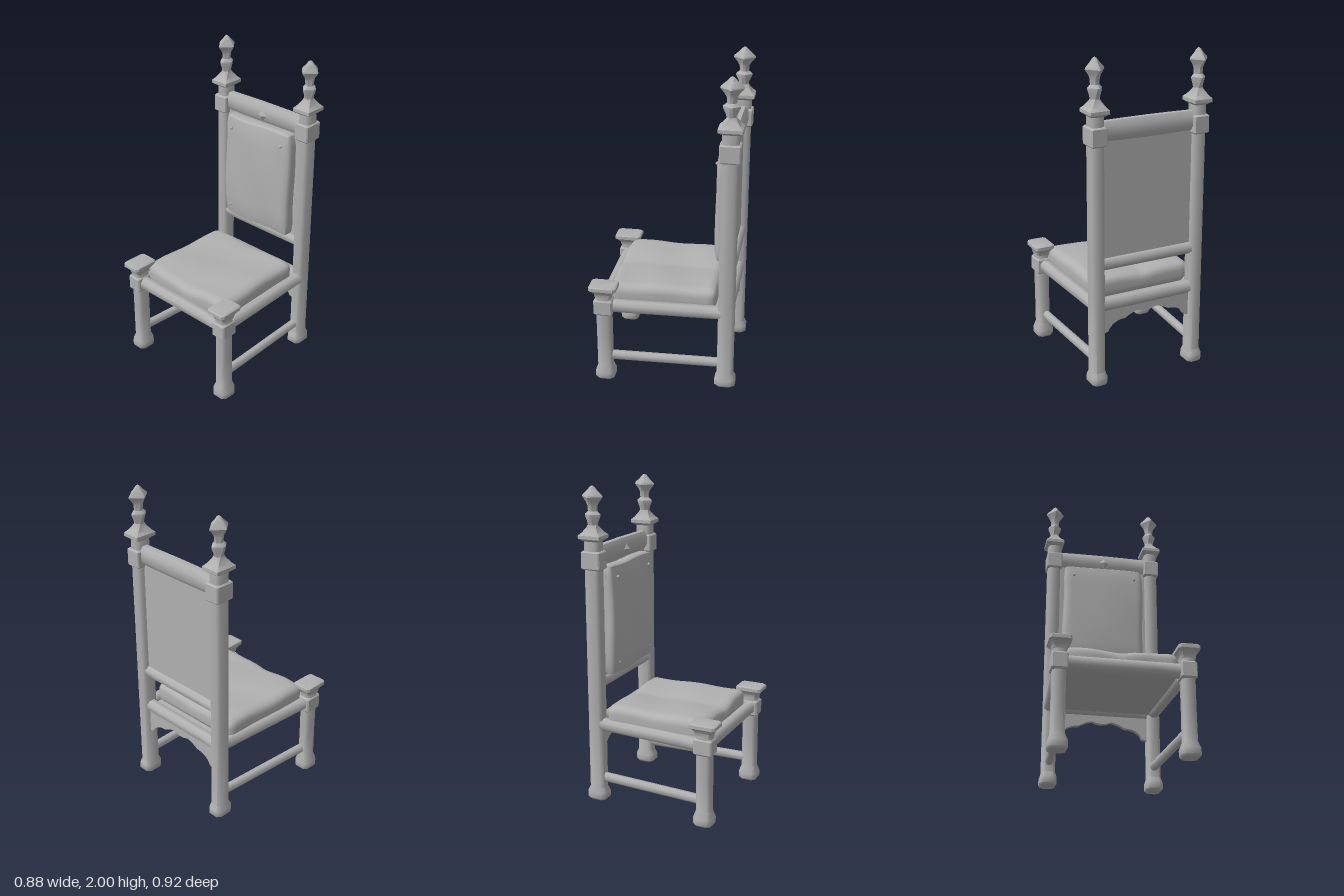
import * as THREE from 'three';
import { mergeVertices, toCreasedNormals } from 'three/addons/utils/BufferGeometryUtils.js';

const grey = new THREE.MeshStandardMaterial({ color: 0xb0b0b0 });
grey.name = 'plain grey';

function add(parent, name, geometry, x = 0, y = 0, z = 0) {
  const mesh = new THREE.Mesh(geometry, grey);
  mesh.name = name;
  mesh.position.set(x, y, z);
  parent.add(mesh);
  return mesh;
}

// Loft of chamfered rectangles along y; rows are [y, width, depth, chamfer fraction]
function loft(rows, crease = 0.9) {
  const pos = [], idx = [], last = (rows.length - 1) * 8;
  for (const [y, w, d, c = 0.2] of rows) {
    const a = w / 2, b = d / 2, ai = a - c * w, bi = b - c * d;
    for (const [x, z] of [[a, bi], [ai, b], [-ai, b], [-a, bi], [-a, -bi], [-ai, -b], [ai, -b], [a, -bi]]) pos.push(x, y, z);
  }
  for (let r = 0; r < last; r += 8) {
    for (let i = 0; i < 8; i++) {
      const l = r + i, n = r + (i + 1) % 8;
      idx.push(l, l + 8, n, n, l + 8, n + 8);
    }
  }
  for (let i = 1; i < 7; i++) idx.push(0, i, i + 1, last, last + i + 1, last + i);
  const g = new THREE.BufferGeometry();
  g.setAttribute('position', new THREE.Float32BufferAttribute(pos, 3));
  g.setIndex(idx);
  return toCreasedNormals(g, crease);
}

// Straight rail between two points, slightly swollen in the middle
function rail(parent, name, from, to, w, d, swell = 0) {
  const a = new THREE.Vector3(...from), dir = new THREE.Vector3(...to).sub(a), len = dir.length();
  const rows = [0, 0.2, 0.5, 0.8, 1].map((t) => [t * len, w + swell * Math.sin(t * Math.PI), d, 0.27]);
  const mesh = add(parent, name, loft(rows), ...from);
  mesh.quaternion.setFromUnitVectors(new THREE.Vector3(0, 1, 0), dir.normalize());
}

// Soft rounded box whose vertices are then moved by a warp rule
function cushion(w, h, d, r, warp) {
  let g = new THREE.BoxGeometry(w, h, d, 30, 10, 30);
  g.deleteAttribute('uv');
  g.deleteAttribute('normal');
  g = mergeVertices(g);
  const p = g.attributes.position, v = new THREE.Vector3(), inner = new THREE.Vector3();
  const lim = new THREE.Vector3(w / 2 - r, h / 2 - r, d / 2 - r), neg = lim.clone().negate();
  for (let i = 0; i < p.count; i++) {
    v.fromBufferAttribute(p, i);
    inner.copy(v).clamp(neg, lim);
    v.sub(inner).setLength(r).add(inner);
    warp(v);
    p.setXYZ(i, v.x, v.y, v.z);
  }
  g.computeVertexNormals();
  return g;
}

function buildFrontLeg(x) {
  const leg = new THREE.Group();
  leg.name = 'frontLeg';
  leg.position.set(x, 0, 0.378);
  add(leg, 'frontLegPost', loft([
    [0, 0.095, 0.105], [0.012, 0.112, 0.122], [0.05, 0.112, 0.122], [0.095, 0.08, 0.092],
    [0.3, 0.078, 0.092], [0.47, 0.08, 0.092], [0.59, 0.085, 0.1]]));
  add(leg, 'frontLegBlock', loft([
    [0.46, 0.08, 0.1, 0.08], [0.47, 0.097, 0.118, 0.08], [0.555, 0.097, 0.118, 0.08], [0.565, 0.08, 0.1, 0.08]], 0.6));
  add(leg, 'frontLegCap', loft([
    [0.585, 0.085, 0.1, 0.1], [0.605, 0.09, 0.11, 0.1], [0.628, 0.118, 0.155, 0.1], [0.634, 0.132, 0.172, 0.1],
    [0.655, 0.132, 0.172, 0.1], [0.661, 0.118, 0.158, 0.1]], 0.6));
  return leg;
}

function buildBackPost(x) {
  const post = new THREE.Group();
  post.name = 'backPost';
  post.position.set(x, 0, -0.382);
  add(post, 'backLegPost', loft([
    [0, 0.085, 0.105], [0.012, 0.104, 0.13], [0.05, 0.104, 0.13], [0.085, 0.083, 0.1],
    [0.6, 0.083, 0.1], [1.2, 0.083, 0.1], [1.62, 0.083, 0.1], [1.69, 0.083, 0.1]]));
  add(post, 'backPostBlock', loft([
    [1.5, 0.085, 0.11, 0.06], [1.508, 0.1, 0.126, 0.06], [1.605, 0.1, 0.126, 0.06], [1.613, 0.085, 0.11, 0.06]], 0.6));
  // Square collar blending into a turned neck and a diamond point
  add(post, 'collar', loft([
    [1.672, 0.083, 0.1, 0.1], [1.688, 0.121, 0.144, 0.02], [1.708, 0.121, 0.144, 0.02],
    [1.725, 0.092, 0.108, 0.05], [1.755, 0.058, 0.066, 0.15], [1.77, 0.05, 0.056, 0.29]], 0.6));
  add(post, 'finial', loft([
    [1.765, 0.05, 0.055, 0.29], [1.79, 0.062, 0.068, 0.35], [1.822, 0.085, 0.1, 0.42], [1.832, 0.085, 0.1, 0.42],
    [1.85, 0.05, 0.056, 0.35], [1.885, 0.056, 0.06, 0.35], [1.905, 0.075, 0.085, 0.42],
    [1.935, 0.118, 0.138, 0.48], [1.945, 0.112, 0.13, 0.48], [1.975, 0.052, 0.06, 0.42],
    [1.992, 0.026, 0.028, 0.3], [2, 0.008, 0.008, 0.3]], 0.6));
  return post;
}

export function createModel() {
  const chair = new THREE.Group();
  chair.name = 'chair';
  const cx = 0.01, backZ = -0.382;

  for (const s of [-1, 1]) {
    chair.add(buildFrontLeg(s * 0.375));
    chair.add(buildBackPost(cx + s * 0.335));
    rail(chair, 'sideSeatRail', [s * 0.37, 0.513, 0.37], [cx + s * 0.335, 0.513, backZ], 0.075, 0.076);
    rail(chair, 'sideStretcher', [s * 0.365, 0.152, 0.37], [cx + s * 0.33, 0.152, backZ], 0.05, 0.056);
  }
  rail(chair, 'frontSeatRail', [-0.36, 0.515, 0.38], [0.36, 0.515, 0.38], 0.08, 0.078);
  rail(chair, 'backSeatRail', [-0.31, 0.513, backZ], [0.33, 0.513, backZ], 0.078, 0.075);
  rail(chair, 'crestRail', [-0.31, 1.578, backZ], [0.33, 1.578, backZ], 0.114, 0.077, 0.008);
  rail(chair, 'lowerBackRail', [-0.31, 0.775, backZ], [0.33, 0.775, backZ], 0.072, 0.077);

  // Scalloped apron under the rear seat rail
  const shape = new THREE.Shape();
  shape.moveTo(-0.3, 0.49);
  shape.lineTo(-0.3, 0.325);
  shape.lineTo(-0.265, 0.335);
  shape.quadraticCurveTo(-0.235, 0.4, -0.15, 0.4);
  shape.quadraticCurveTo(-0.1, 0.43, -0.06, 0.435);
  shape.quadraticCurveTo(0, 0.405, 0.06, 0.435);
  shape.quadraticCurveTo(0.1, 0.43, 0.15, 0.4);
  shape.quadraticCurveTo(0.235, 0.4, 0.265, 0.335);
  shape.lineTo(0.3, 0.325);
  shape.lineTo(0.3, 0.49);
  add(chair, 'apron', new THREE.ExtrudeGeometry(shape, { depth: 0.035, bevelEnabled: false, curveSegments: 6 }), cx, 0, backZ - 0.018);

  // Seat
  add(chair, 'seatBoard', new THREE.BoxGeometry(0.65, 0.02, 0.74), 0, 0.505, 0);
  add(chair, 'seatCushion', cushion(0.7, 0.13, 0.67, 0.05, (v) => {
    if (v.y > 0) {
      const edge = Math.abs(v.x) / 0.35;
      v.y += 0.013 * Math.sin(edge * Math.PI * 0.8) - 0.008 * (1 - edge) + 0.004 * Math.sin(v.z * 16 + v.x * 5);
    }
    v.x *= 0.985 + 0.06 * v.z + 0.006 * Math.sin(v.z * 14);
    if (v.z > 0.2) v.z += 0.012 * Math.cos(v.x * 4.5) + 0.004 * Math.sin(v.x * 24) - 0.006;
  }), -0.005, 0.57, 0.02);

  // Backrest
  add(chair, 'backPanel', new THREE.BoxGeometry(0.62, 0.76, 0.03), cx, 1.17, -0.378);
  add(chair, 'backCushion', cushion(0.535, 0.7, 0.1, 0.035, (v) => {
    if (v.z > 0) {
      const bulge = Math.cos(v.x * 4.5) * Math.cos((v.y + 0.08) * 3.2);
      v.z += 0.022 * bulge - 0.008 + 0.003 * Math.sin(v.x * 17 + v.y * 9);
    }
    v.x += 0.004 * Math.sin(v.y * 11);
    v.y += 0.004 * Math.sin(v.x * 13);
  }), cx, 1.165, -0.34);
  for (const x of [-0.205, 0.205]) {
    for (const y of [0.89, 1.437]) add(chair, 'stud', new THREE.SphereGeometry(0.01, 10, 8), cx + x, y, -0.29);
  }

  // Raised diamond on the crest rail
  const gem = add(chair, 'diamondOrnament', new THREE.ConeGeometry(0.036, 0.022, 4).toNonIndexed(), 0.018, 1.57, -0.334);
  gem.geometry.computeVertexNormals();
  gem.rotation.x = Math.PI / 2;
  return chair;
}
